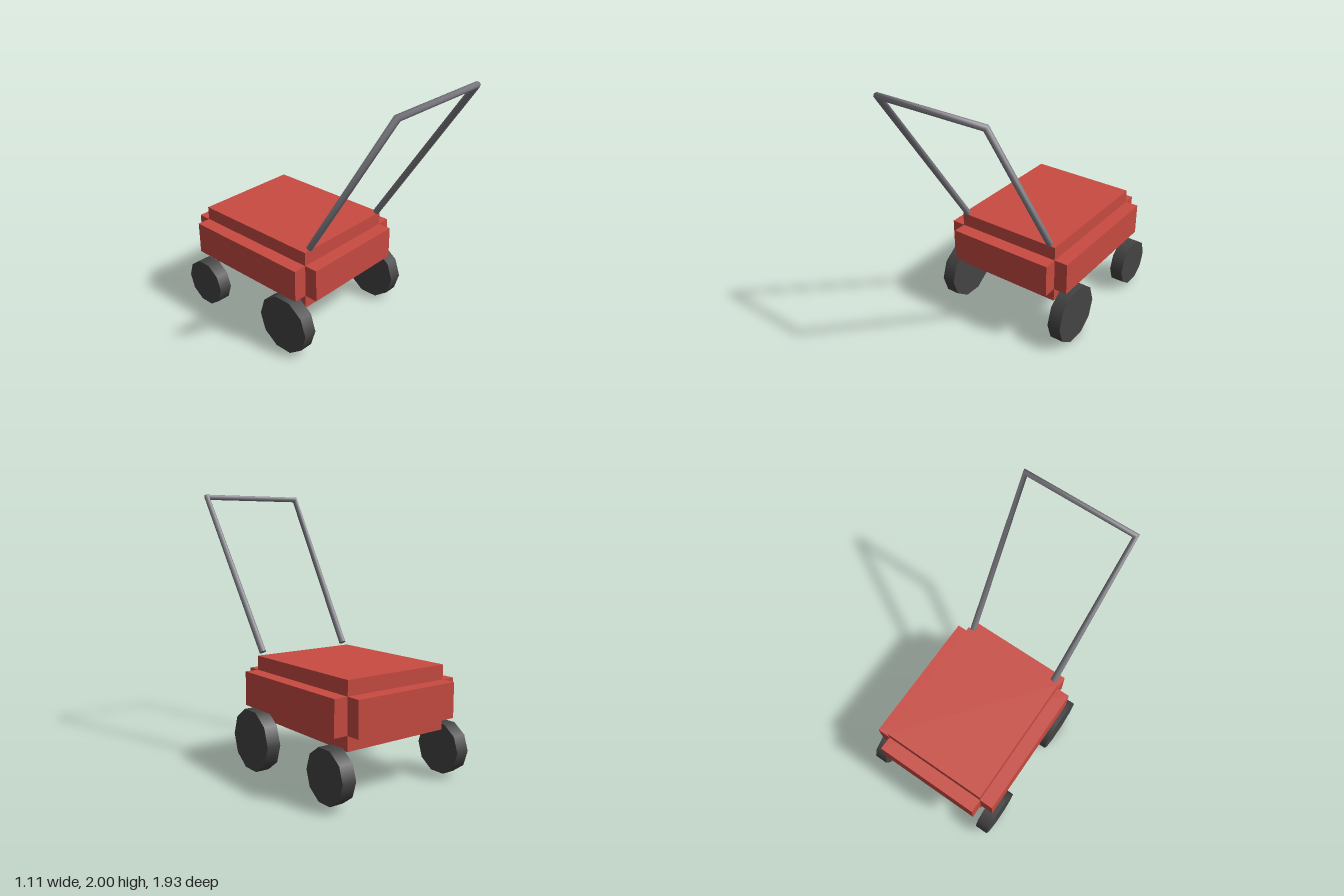
import * as THREE from 'three';

const red = new THREE.MeshStandardMaterial({ color: 0xc84b42 });
const dark = new THREE.MeshStandardMaterial({ color: 0x444444 });
const steel = new THREE.MeshStandardMaterial({ color: 0x808087, side: THREE.DoubleSide });

// Straight-sided path whose rings sit exactly on its corners, giving mitred joints
class CornerPath extends THREE.Curve {
  constructor(points) {
    super();
    this.points = points;
  }
  getPointAt(u, target = new THREE.Vector3()) {
    return target.copy(this.points[Math.round(u * (this.points.length - 1))]);
  }
  getTangentAt(u, target = new THREE.Vector3()) {
    const p = this.points;
    const i = Math.round(u * (p.length - 1));
    const dir = (a, b) => p[b].clone().sub(p[a]).normalize();
    target.set(0, 0, 0);
    if (i > 0) target.add(dir(i - 1, i));
    if (i < p.length - 1) target.add(dir(i, i + 1));
    return target.normalize();
  }
}

export function createModel() {
  const group = new THREE.Group();
  const add = (name, geometry, material, x, y, z) => {
    const mesh = new THREE.Mesh(geometry, material);
    mesh.name = name;
    mesh.position.set(x, y, z);
    group.add(mesh);
    return mesh;
  };

  // Body: a core block with a raised belt on all four sides, notched at the corners
  add('bodyCore', new THREE.BoxGeometry(0.84, 0.46, 1.05), red, 0, 0.58, -0.315);
  add('sideBelt', new THREE.BoxGeometry(1.05, 0.25, 1.05), red, 0, 0.58, -0.315);
  add('frontBackBelt', new THREE.BoxGeometry(0.84, 0.25, 1.26), red, 0, 0.58, -0.315);

  // Wheels: ten-sided, the front pair larger
  for (const [end, radius, y, z] of [['front', 0.23, 0.219, 0.103], ['back', 0.188, 0.2, -0.777]]) {
    const wheel = new THREE.CylinderGeometry(radius, radius, 0.105, 10).rotateZ(Math.PI / 2);
    add(`${end}LeftWheel`, wheel, dark, 0.503, y, z);
    add(`${end}RightWheel`, wheel, dark, -0.503, y, z);
  }

  // Push handle: two slanted arms joined by a crossbar
  const r = 0.025;
  const path = new CornerPath([
    new THREE.Vector3(0.375, 0.832, 0.212),
    new THREE.Vector3(0.423, 1.981, 0.942),
    new THREE.Vector3(-0.423, 1.981, 0.942),
    new THREE.Vector3(-0.375, 0.832, 0.212),
  ]);
  add('handle', new THREE.TubeGeometry(path, 3, r, 8), steel, 0, 0, 0);

  // Closed ends of the arms
  for (const [name, u] of [['leftHandleEnd', 0], ['rightHandleEnd', 1]]) {
    const p = path.getPointAt(u);
    const out = path.getTangentAt(u).multiplyScalar(u ? 1 : -1);
    add(name, new THREE.CircleGeometry(r, 8), steel, p.x, p.y, p.z)
      .quaternion.setFromUnitVectors(new THREE.Vector3(0, 0, 1), out);
  }

  return group;
}
